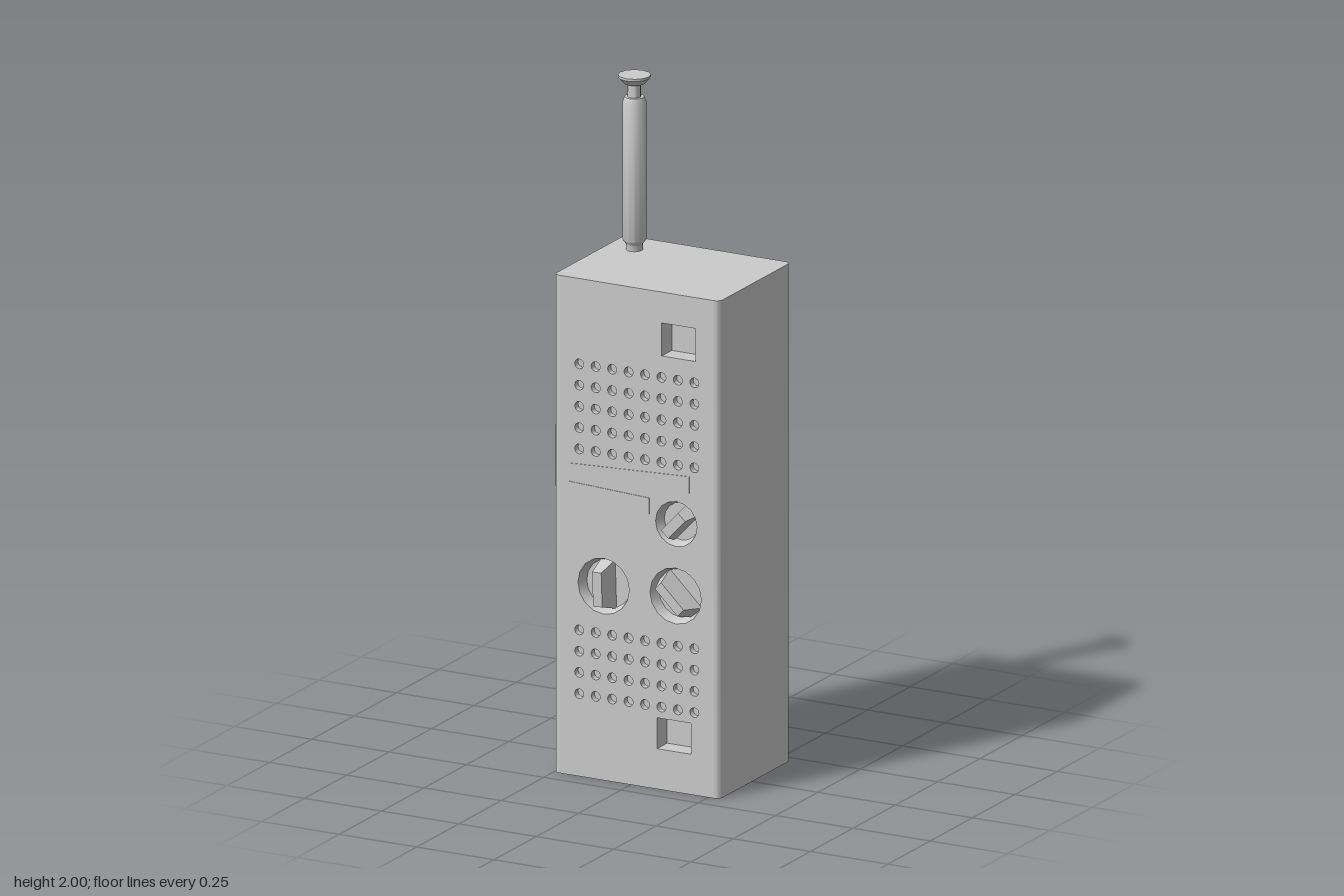
import * as THREE from 'three';
import { toCreasedNormals } from 'three/addons/utils/BufferGeometryUtils.js';

const FRONT = 0.192, BACK = -0.23, HEIGHT = 1.48, LEFT = 0.287, RIGHT = -0.25;
const GREY = new THREE.MeshStandardMaterial({ color: 0xcccccc });
const GREY_OPEN = new THREE.MeshStandardMaterial({ color: 0xcccccc, side: THREE.DoubleSide });

const polygon = (points) => new THREE.Shape(points.map(([x, y]) => new THREE.Vector2(x, y)));
const rect = (x0, y0, x1, y1) => polygon([[x0, y0], [x1, y0], [x1, y1], [x0, y1]]);
const circle = (x, y, r) => new THREE.Path().absarc(x, y, r, 0, Math.PI * 2);

export function createModel() {
  const model = new THREE.Group();

  const add = (name, geometry, x = 0, y = 0, z = 0, material = GREY) => {
    const mesh = new THREE.Mesh(geometry, material);
    mesh.name = name;
    mesh.position.set(x, y, z);
    model.add(mesh);
    return mesh;
  };
  const crease = (geometry) => toCreasedNormals(geometry, 0.7);

  // Case: rounded section (shape y is -z) with a slot at the front for the panel
  const r = 0.02, slot = 0.06;
  const section = new THREE.Shape();
  section.moveTo(RIGHT + r, -FRONT);
  section.lineTo(RIGHT + r, -FRONT + slot);
  section.lineTo(LEFT - r, -FRONT + slot);
  section.lineTo(LEFT - r, -FRONT);
  section.absarc(LEFT - r, -FRONT + r, r, -Math.PI / 2, 0);
  section.absarc(LEFT - r, -BACK - r, r, 0, Math.PI / 2);
  section.absarc(RIGHT + r, -BACK - r, r, Math.PI / 2, Math.PI);
  section.absarc(RIGHT + r, -FRONT + r, r, Math.PI, Math.PI * 1.5);
  const caseGeometry = new THREE.ExtrudeGeometry(section, { depth: HEIGHT, bevelEnabled: false, curveSegments: 4 });
  add('case', crease(caseGeometry.rotateX(-Math.PI / 2)));

  // Openings in the front panel
  const dials = [
    { name: 'leftDial', x: 0.145, y: 0.583, radius: 0.083, turn: 0.8, length: 0.145, width: 0.045, top: 0.23 },
    { name: 'rightDial', x: -0.088, y: 0.577, radius: 0.083, turn: 0.03, length: 0.145, width: 0.045, top: 0.23 },
    { name: 'smallDial', x: 0.147, y: 0.797, radius: 0.067, turn: -0.75, length: 0.115, width: 0.048, top: 0.211 },
  ];
  const windows = [rect(0.1, 1.29, 0.21, 1.388), rect(0.085, 0.12, 0.195, 0.212)];
  const dialHoles = dials.map((d) => circle(d.x, d.y, d.radius));
  const grilleHoles = [];
  for (const [top, rows] of [[1.226, 5], [0.435, 4]]) {
    for (let row = 0; row < rows; row++) {
      for (let col = 0; col < 8; col++) {
        grilleHoles.push(circle(-0.167 + col * 0.0532, top - row * 0.0632, 0.0145));
      }
    }
  }

  // Front panel in two layers: the grille holes go through the outer one only
  const panel = (name, z0, z1, holes) => {
    const shape = rect(RIGHT + r, 0, LEFT - r, HEIGHT);
    shape.holes.push(...holes);
    const geometry = new THREE.ExtrudeGeometry(shape, { depth: z1 - z0, bevelEnabled: false, curveSegments: 8 });
    add(name, crease(geometry), 0, 0, z0);
  };
  panel('grillePanel', FRONT - 0.02, FRONT, [...windows, ...dialHoles, ...grilleHoles]);
  panel('innerPanel', FRONT - slot, FRONT - 0.02, [...windows, ...dialHoles]);

  // Dials: tapered dish with a tapered bar grip
  for (const d of dials) {
    const depth = 0.032;
    const dish = new THREE.LatheGeometry([
      new THREE.Vector2(0, -depth),
      new THREE.Vector2(d.radius - 0.011, -depth),
      new THREE.Vector2(d.radius, 0),
    ], 16).rotateX(Math.PI / 2);
    add(d.name + 'Recess', crease(dish), d.x, d.y, FRONT, GREY_OPEN);

    const height = d.top - FRONT + depth;
    const grip = new THREE.BoxGeometry(d.width, d.length, height);
    const p = grip.attributes.position;
    for (let i = 0; i < p.count; i++) {
      if (p.getZ(i) > 0) p.setXY(i, p.getX(i) * 0.65, p.getY(i) * 0.7);
    }
    grip.computeVertexNormals();
    add(d.name + 'Grip', grip, d.x, d.y, d.top - height / 2).rotation.z = d.turn;
  }

  // Two wedge-shaped strips across the middle
  const strips = [
    [[-0.2, 0.877], [0.19, 0.895], [0.19, 0.945], [-0.2, 0.927]],
    [[-0.2, 0.825], [0.06, 0.814], [0.06, 0.862], [-0.2, 0.873]],
  ];
  for (const points of strips) {
    add('strip', new THREE.ExtrudeGeometry(polygon(points), { depth: 0.004, bevelEnabled: false }), 0, 0, FRONT - 0.002);
  }

  // Push button on the right side
  add('sideButton', new THREE.BoxGeometry(0.06, 0.185, 0.072), -0.26, 0.913, 0.071);

  // Antenna
  const profile = [
    [0, 1.47], [0.024, 1.47], [0.024, 1.497], [0.034, 1.51], [0.034, 1.92], [0.028, 1.935],
    [0.019, 1.935], [0.019, 1.972], [0.03, 1.975], [0.047, 1.993], [0.047, 2], [0, 2],
  ].map(([x, y]) => new THREE.Vector2(x, y));
  add('antenna', crease(new THREE.LatheGeometry(profile, 12)), -0.162, 0, -0.125);

  return model;
}
